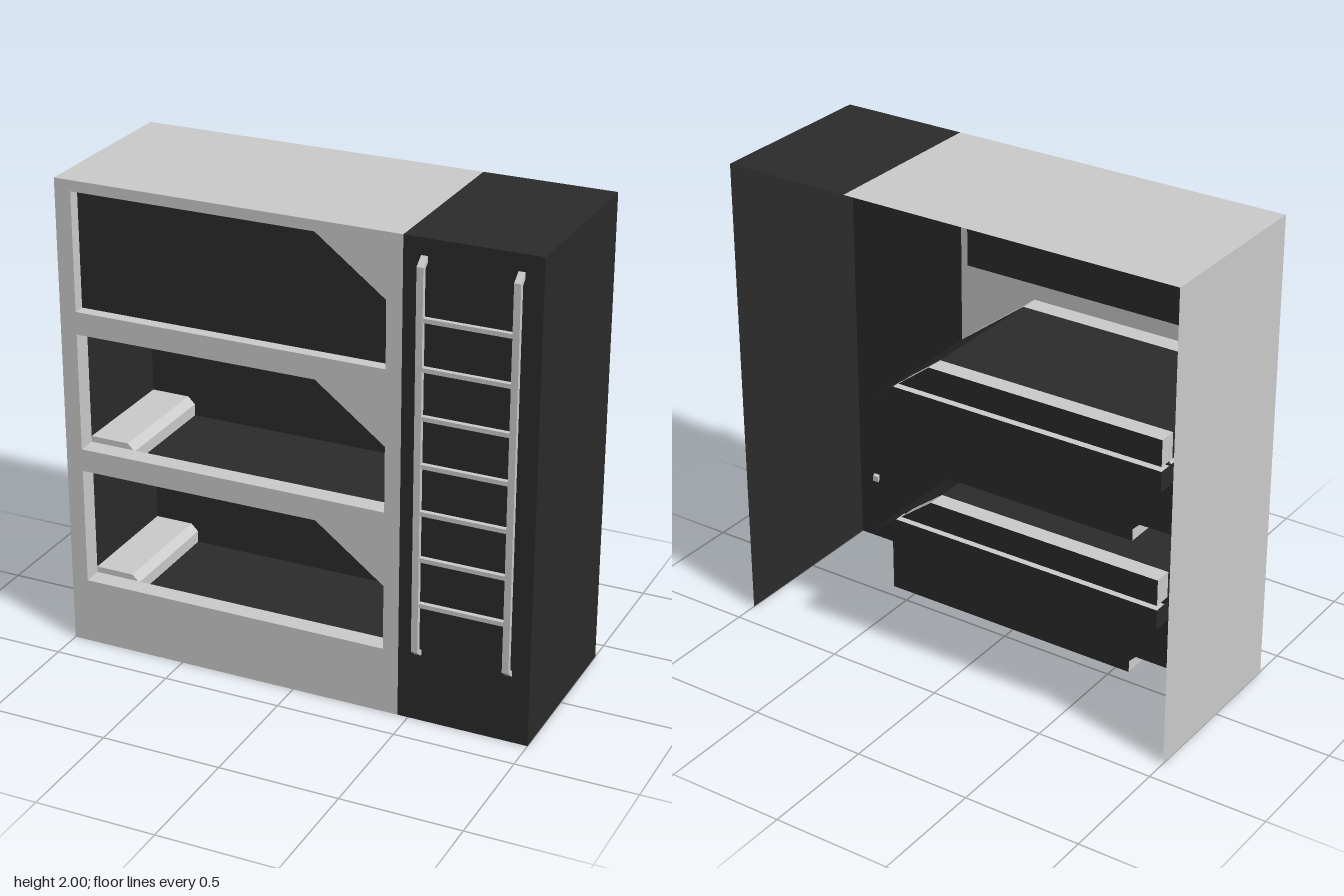
import * as THREE from 'three';

const grey = new THREE.MeshStandardMaterial({ color: 0xcccccc, side: THREE.DoubleSide, flatShading: true });
const dark = new THREE.MeshStandardMaterial({ color: 0x2b2b2b, side: THREE.DoubleSide, flatShading: true });

function add(parent, name, geometry, material) {
  const mesh = new THREE.Mesh(geometry, material);
  mesh.name = name;
  parent.add(mesh);
  return mesh;
}

const shapeOf = (pts) => new THREE.Shape(pts.map(([x, y]) => new THREE.Vector2(x, y)));

// Flat polygon facing +z at depth z
function face(pts, z, holes = []) {
  const shape = shapeOf(pts);
  shape.holes.push(...holes.map(shapeOf));
  return new THREE.ShapeGeometry(shape).translate(0, 0, z);
}

// Sheet swept along z from an open or closed outline
function sleeve(pts, z0, z1, closed = false) {
  const pos = [];
  const n = closed ? pts.length : pts.length - 1;
  for (let i = 0; i < n; i++) {
    const [ax, ay] = pts[i];
    const [bx, by] = pts[(i + 1) % pts.length];
    pos.push(ax, ay, z0, ax, ay, z1, bx, by, z1, ax, ay, z0, bx, by, z1, bx, by, z0);
  }
  const g = new THREE.BufferGeometry();
  g.setAttribute('position', new THREE.Float32BufferAttribute(pos, 3));
  g.computeVertexNormals();
  return g;
}

const FRONT = 0.36, BACK = -0.4, SPLIT = 0.455;
const L = -0.93, R = 0.39;         // sides of the openings
const SILLS = [0.28, 0.87, 1.46];

// Opening with one slanted upper corner
const opening = (y) => [[L, y], [R, y], [R, y + 0.275], [0.1, y + 0.495], [L, y + 0.495]];
// Slanted side position at height h above the sill
const slant = (h) => R - (h - 0.275) * 0.29 / 0.22;
const band = (h0, h1) => [[L, h0], [slant(h0), h0], [slant(h1), h1], [L, h1]];

// Sleeping compartment, built with its sill at y = 0
function makeBunk() {
  const g = new THREE.Group();
  g.name = 'bunk';
  const rim = 0.28, wall = -0.23, out = -0.365, lip = -0.29, notch = -0.31;
  const floor = -0.055, ledge = 0.28, low = 0.365, high = 0.385, top = 0.495;
  const pillow = [[-0.735, floor], [-0.735, -0.005], [-0.765, 0.025], [L, 0.025]];

  // Shell
  add(g, 'ceiling', sleeve([[R, 0.275], [0.1, top], [L, top], [L, 0]], rim, wall), dark);
  add(g, 'endWall', sleeve([[R, floor], [R, 0.275]], rim, wall), grey);
  add(g, 'floor', sleeve([[R, floor], [-0.735, floor]], rim, wall), dark);
  add(g, 'frontApron', face([[-0.735, floor], [R, floor], [R, 0], [-0.735, 0]], rim), dark);
  add(g, 'backWall', face([[R, floor], [R, 0.275], [slant(ledge), ledge], [L, ledge], ...[...pillow].reverse()], wall), dark);

  // Raised head rest
  add(g, 'headRest', sleeve(pillow, rim, wall), grey);
  add(g, 'headRestFront', face([[L, 0], [-0.74, 0], [-0.765, 0.025], [L, 0.025]], rim), grey);

  // Overhanging rear shelves with a narrow groove between them
  const arch = [[slant(high), high], [0.1, top], [L, top], [L, high]];
  add(g, 'upperShelfShell', sleeve(arch, wall, lip), dark);
  add(g, 'upperShelfEdge', sleeve(arch, lip, out), grey);
  add(g, 'upperShelfBack', face(band(high, top), out), dark);
  add(g, 'lowerShelfBack', face(band(ledge, low), out), dark);
  add(g, 'grooveBack', face(band(low, high), notch), dark);
  add(g, 'shelfUnderside', sleeve([[L, ledge], [slant(ledge), ledge]], wall, out), grey);
  for (const h of [low, high])
    add(g, 'grooveSide', sleeve([[L, h], [slant(h), h]], notch, out), grey);
  add(g, 'lowerShelfSlope', sleeve([[slant(ledge), ledge], [slant(low), low]], wall, out), dark);
  add(g, 'grooveSlope', sleeve([[slant(low), low], [slant(high), high]], wall, notch), dark);
  add(g, 'lowerShelfSide', sleeve([[L, ledge], [L, low]], wall, out), dark);
  return g;
}

// Ladder with rails bent back into the panel
function makeLadder() {
  const g = new THREE.Group();
  g.name = 'ladder';
  const rail = shapeOf([[0.40, 0.32], [0.40, 1.9], [0.35, 1.94], [0.35, 1.915],
    [0.38, 1.89], [0.38, 0.33], [0.35, 0.305], [0.35, 0.28]]);
  for (const x of [0.525, 0.9]) {
    const geo = new THREE.ExtrudeGeometry(rail, { depth: 0.027, bevelEnabled: false });
    geo.rotateY(-Math.PI / 2); // profile x becomes z, depth runs to -x
    add(g, 'ladderRail', geo.translate(x + 0.027, 0, 0), grey);
  }
  for (let i = 0; i < 7; i++)
    add(g, 'ladderRung', new THREE.BoxGeometry(0.36, 0.018, 0.02), grey)
      .position.set(0.726, 0.525 + i * 0.195, 0.386);
  return g;
}

export function createModel() {
  const model = new THREE.Group();
  model.name = 'bunkUnit';

  // Outer casing, open at the back and underneath
  add(model, 'frontPanel', face([[-1, 0], [SPLIT, 0], [SPLIT, 2], [-1, 2]], FRONT, SILLS.map(opening)), grey);
  add(model, 'casing', sleeve([[-1, 0], [-1, 2], [SPLIT, 2]], FRONT, BACK), grey);
  add(model, 'ladderPanel', face([[SPLIT, 0], [1, 0], [1, 2], [SPLIT, 2]], FRONT), dark);
  add(model, 'ladderCasing', sleeve([[SPLIT, 2], [1, 2], [1, 0]], FRONT, BACK), dark);

  // Opening rims, two bunks and the closed top bay
  SILLS.forEach((y, i) => {
    const depth = i < 2 ? 0.28 : 0.31;
    add(model, 'openingRim', sleeve(opening(y), FRONT, depth, true), grey);
    if (i < 2) {
      const bunk = makeBunk();
      bunk.position.y = y;
      model.add(bunk);
    } else add(model, 'topBayPanel', face(opening(y), depth), dark);
  });

  model.add(makeLadder());
  return model;
}
